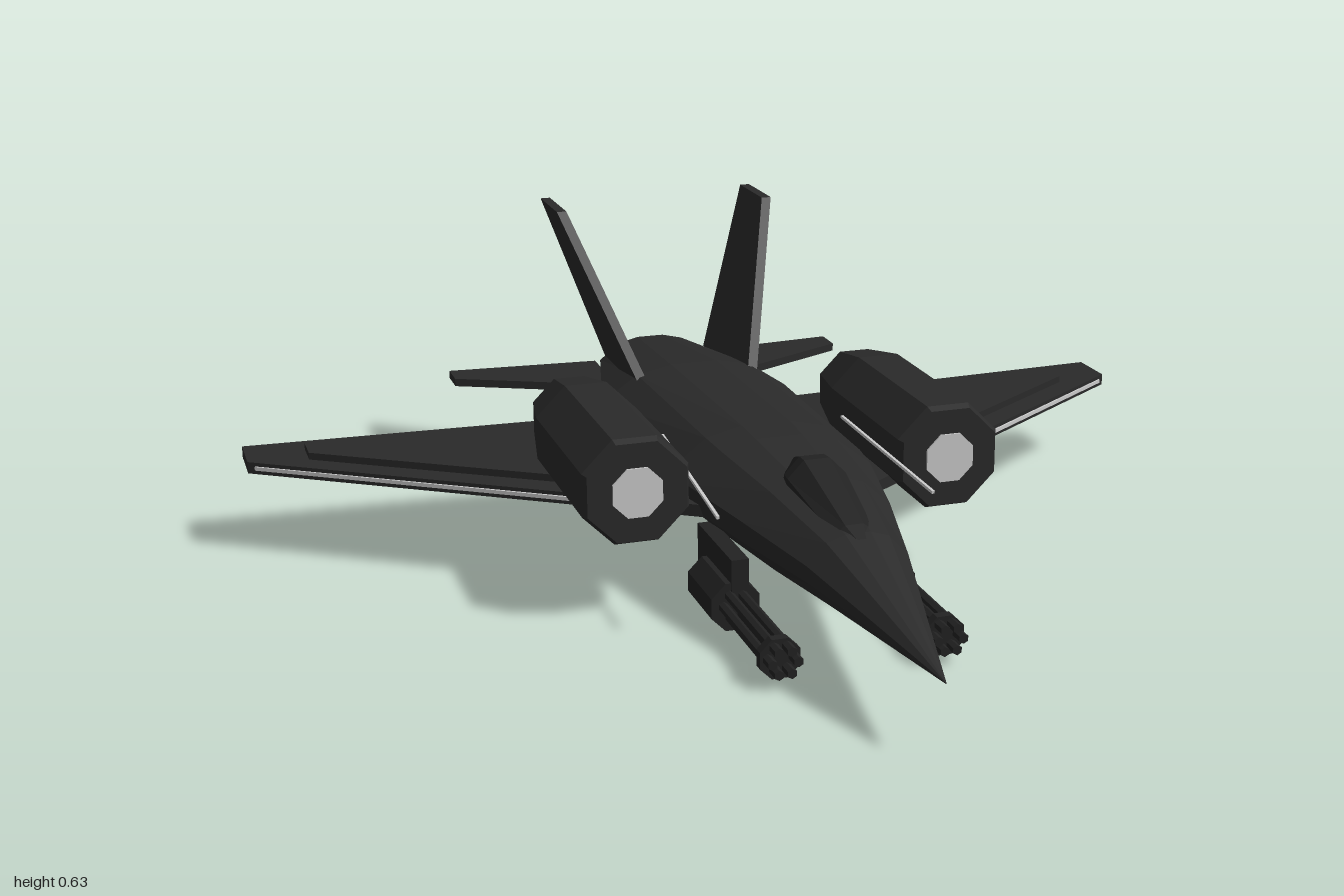
import * as THREE from 'three';

const mat = (name, color) => {
  const m = new THREE.MeshStandardMaterial({ color, flatShading: true });
  m.name = name;
  return m;
};

// Skin of triangles over matching rings, ordered from back to front
function loft(rings) {
  const n = rings[0].length, pos = rings.flat(2), idx = [];
  const last = (rings.length - 1) * n;
  for (let i = 0; i < rings.length - 1; i++) {
    for (let j = 0; j < n; j++) {
      const a = i * n + j, b = i * n + (j + 1) % n;
      idx.push(a, b, a + n, b, b + n, a + n);
    }
  }
  for (let j = 1; j < n - 1; j++) {
    idx.push(0, j + 1, j, last, last + j, last + j + 1);
  }
  const g = new THREE.BufferGeometry();
  g.setAttribute('position', new THREE.Float32BufferAttribute(pos, 3));
  g.setIndex(idx);
  const flat = g.toNonIndexed();
  flat.computeVertexNormals();
  return flat;
}

// Flat plate from [x, z] corners, between two heights
function plate(corners, y0, y1, side) {
  const shape = new THREE.Shape(corners.map(([x, z]) => new THREE.Vector2(x * side, -z)));
  const g = new THREE.ExtrudeGeometry(shape, { depth: y1 - y0, bevelEnabled: false });
  return g.rotateX(-Math.PI / 2).translate(0, y0, 0);
}

// Eight-sided body turned around the z axis, flat side up; profile is [apothem, z]
function octagon(profile) {
  const k = 1 / Math.cos(Math.PI / 8);
  const pts = profile.map(([r, z]) => new THREE.Vector2(r * k, z));
  const g = new THREE.LatheGeometry(pts, 8, Math.PI / 8).rotateX(Math.PI / 2).toNonIndexed();
  g.computeVertexNormals();
  return g;
}

// Thin square rod between two points
function rod(a, b, t) {
  const p = new THREE.Vector3(...a), q = new THREE.Vector3(...b);
  const g = new THREE.BoxGeometry(t, t, p.distanceTo(q));
  const turn = new THREE.Quaternion().setFromUnitVectors(
    new THREE.Vector3(0, 0, 1), q.clone().sub(p).normalize());
  const mid = p.add(q).multiplyScalar(0.5);
  return g.applyQuaternion(turn).translate(mid.x, mid.y, mid.z);
}

export function createModel() {
  const model = new THREE.Group();
  model.name = 'jetFighter';
  const hull = mat('charcoal hull', 0x2a2a2a);
  const dark = mat('dark metal', 0x222222);
  const light = mat('light grey', 0xcccccc);
  const add = (name, geometry, material, parent = model) => {
    const mesh = new THREE.Mesh(geometry, material);
    mesh.name = name;
    parent.add(mesh);
    return mesh;
  };

  // Fuselage: faceted section scaled along the body
  const half = [[0.55, 0.1], [0.92, 0.4], [1, 0.65], [0.62, 0.92], [0.25, 1]];
  const section = [[0, 0], ...half, ...half.map(([x, y]) => [-x, y]).reverse()];
  const stations = [ // z, half width, bottom, top
    [-0.86, 0.125, 0.135, 0.275], [-0.5, 0.215, 0.103, 0.307], [0, 0.207, 0.088, 0.315],
    [0.08, 0.198, 0.088, 0.312], [0.3, 0.153, 0.097, 0.295], [0.52, 0.1, 0.112, 0.262],
    [0.93, 0.001, 0.139, 0.141],
  ];
  add('fuselage', loft(stations.map(([z, w, b, t]) =>
    section.map(([x, y]) => [x * w, b + y * (t - b), z]))), hull);

  // Canopy
  const canopy = [ // z, half width, base, top
    [0.2, 0.025, 0.27, 0.308], [0.27, 0.062, 0.25, 0.333], [0.3, 0.066, 0.25, 0.335],
    [0.5, 0.045, 0.23, 0.272], [0.57, 0.004, 0.22, 0.244],
  ];
  add('canopy', loft(canopy.map(([z, w, b, t]) => [
    [-w, b, z], [w, b, z], [w * 0.9, b + (t - b) * 0.6, z], [w * 0.4, t, z],
    [-w * 0.4, t, z], [-w * 0.9, b + (t - b) * 0.6, z]])), dark);

  for (const side of [1, -1]) {
    const prefix = side > 0 ? 'left' : 'right';

    // Wing with raised panel and light leading edge
    add(prefix + 'Wing', plate([[0.12, 0.16], [1, -0.44], [1, -0.55], [0.12, -0.511]],
      0.175, 0.2, side), hull);
    add(prefix + 'WingPanel', plate([[0.3, -0.03], [0.875, -0.415], [0.875, -0.485], [0.3, -0.46]],
      0.2, 0.215, side), hull);
    add(prefix + 'LeadingEdge',
      rod([side * 0.37, 0.188, -0.009], [side * 0.985, 0.188, -0.43], 0.008), light);

    // Tailplane
    add(prefix + 'Tailplane', plate([[0.08, -0.67], [0.13, -0.7], [0.475, -0.87], [0.475, -0.94],
      [0.125, -0.912], [0.125, -0.85], [0.08, -0.85]], 0.192, 0.21, side), hull);

    // Fin, sheared outwards with height
    const finShape = new THREE.Shape([[-0.455, 0.26], [-0.71, 0.627], [-0.87, 0.627], [-0.785, 0.26]]
      .map(p => new THREE.Vector2(...p)));
    const fin = new THREE.ExtrudeGeometry(finShape, { depth: 0.022, bevelEnabled: false });
    fin.rotateY(-Math.PI / 2).translate(0.011, 0, 0);
    const p = fin.attributes.position;
    for (let i = 0; i < p.count; i++) {
      p.setX(i, p.getX(i) + side * (0.125 + (p.getY(i) - 0.27) * 0.335));
    }
    fin.computeVertexNormals();
    add(prefix + 'Fin', fin, hull);

    // Engine pod with light intake and exhaust
    const engine = new THREE.Group();
    engine.name = prefix + 'Engine';
    engine.position.set(side * 0.326, 0.267, 0);
    model.add(engine);
    add('pod', octagon([[0, -0.345], [0.08, -0.345], [0.107, -0.2], [0.107, 0.175],
      [0.1, 0.19], [0, 0.19]]), hull, engine);
    add('intake', octagon([[0, 0.185], [0.05, 0.185], [0.05, 0.194], [0, 0.194]]), light, engine);
    add('exhaust', octagon([[0, -0.35], [0.07, -0.35], [0.07, -0.342], [0, -0.342]]), light, engine);

    // Rotary gun under the body
    const gun = new THREE.Group();
    gun.name = prefix + 'Gun';
    gun.position.set(side * 0.163, 0.05, 0);
    model.add(gun);
    add('housing', octagon([[0, 0.14], [0.049, 0.14], [0.049, 0.295], [0, 0.295]]), dark, gun);
    add('pylon', new THREE.BoxGeometry(0.035, 0.085, 0.22)
      .translate(-side * 0.008, 0.055, 0.19), dark, gun);
    for (let i = 0; i < 6; i++) {
      const a = i * Math.PI / 3;
      add('barrel', new THREE.CylinderGeometry(0.01, 0.01, 0.3, 6).rotateX(Math.PI / 2)
        .translate(Math.cos(a) * 0.025, Math.sin(a) * 0.025 + 0.003, 0.437), dark, gun);
    }
    add('barrelClamp', octagon([[0, 0.535], [0.039, 0.535], [0.039, 0.555], [0, 0.555]]), dark, gun);

    // Light trim rods along the body
    add(prefix + 'UpperRod',
      rod([side * 0.197, 0.285, -0.08], [side * 0.218, 0.262, 0.36], 0.006), light);
    add(prefix + 'LowerRod',
      rod([side * 0.19, 0.137, -0.51], [side * 0.2, 0.17, -0.26], 0.006), light);
  }
  return model;
}
